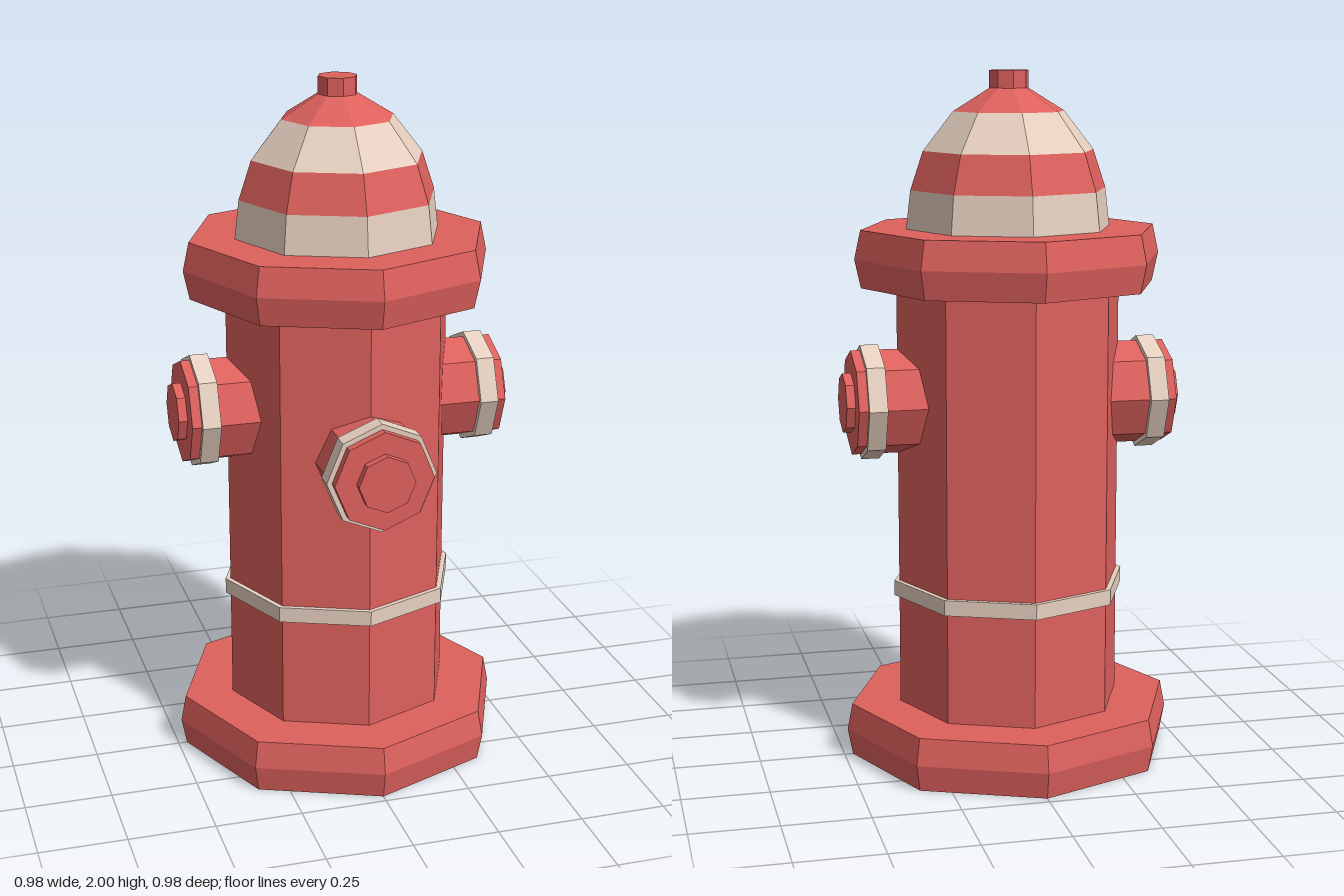
import * as THREE from 'three';

const SIDES = 8;
const red = new THREE.MeshStandardMaterial({ color: 0xde615d, flatShading: true });
const cream = new THREE.MeshStandardMaterial({ color: 0xe6d0c0, flatShading: true });

// Octagonal section standing between heights y0 and y1
function section(parent, name, material, y0, r0, y1, r1 = r0) {
  const geometry = new THREE.CylinderGeometry(r1, r0, y1 - y0, SIDES);
  geometry.translate(0, (y0 + y1) / 2, 0);
  const mesh = new THREE.Mesh(geometry, material);
  mesh.name = name;
  parent.add(mesh);
}

// Octagonal flange, widest at mid height
function flange(parent, name, y0, y1, rEnd, rMid) {
  const mid = (y0 + y1) / 2;
  const points = [[0, y0], [rEnd, y0], [rMid, mid], [rEnd, y1], [0, y1]]
    .map(([r, y]) => new THREE.Vector2(r, y));
  const mesh = new THREE.Mesh(new THREE.LatheGeometry(points, SIDES), red);
  mesh.name = name;
  parent.add(mesh);
}

// Hose outlet, built along y and then laid outwards
function outlet(name, radius) {
  const group = new THREE.Group();
  group.name = name;
  section(group, 'outletBarrel', red, 0.2, radius, 0.39);
  section(group, 'outletRing', cream, 0.385, radius + 0.015, 0.438);
  section(group, 'outletCap', red, 0.43, radius, 0.465);
  section(group, 'outletNut', red, 0.46, radius * 0.57, 0.49);
  return group;
}

export function createModel() {
  const model = new THREE.Group();
  model.name = 'fireHydrant';

  // Base, barrel and collar
  flange(model, 'base', 0, 0.155, 0.475, 0.49);
  section(model, 'body', red, 0.1, 0.33, 1.45);
  section(model, 'bodyBand', cream, 0.48, 0.345, 0.525);
  flange(model, 'collar', 1.39, 1.555, 0.432, 0.45);

  // Striped dome: [height, radius] at each stripe edge
  const dome = new THREE.Group();
  dome.name = 'dome';
  const rings = [[1.555, 0.3], [1.665, 0.287], [1.775, 0.25], [1.885, 0.163], [1.95, 0.057]];
  for (let i = 0; i < rings.length - 1; i++) {
    section(dome, 'domeStripe', i % 2 ? red : cream, ...rings[i], ...rings[i + 1]);
  }
  section(dome, 'topNut', red, 1.94, 0.057, 2);
  model.add(dome);

  // Side outlets and the lower, smaller front outlet
  for (const side of [1, -1]) {
    const o = outlet(side > 0 ? 'leftOutlet' : 'rightOutlet', 0.152);
    o.position.y = 1.06;
    o.rotation.z = -side * Math.PI / 2;
    model.add(o);
  }
  const front = outlet('frontOutlet', 0.143);
  front.position.y = 0.967;
  front.rotation.x = Math.PI / 2;
  model.add(front);

  return model;
}
